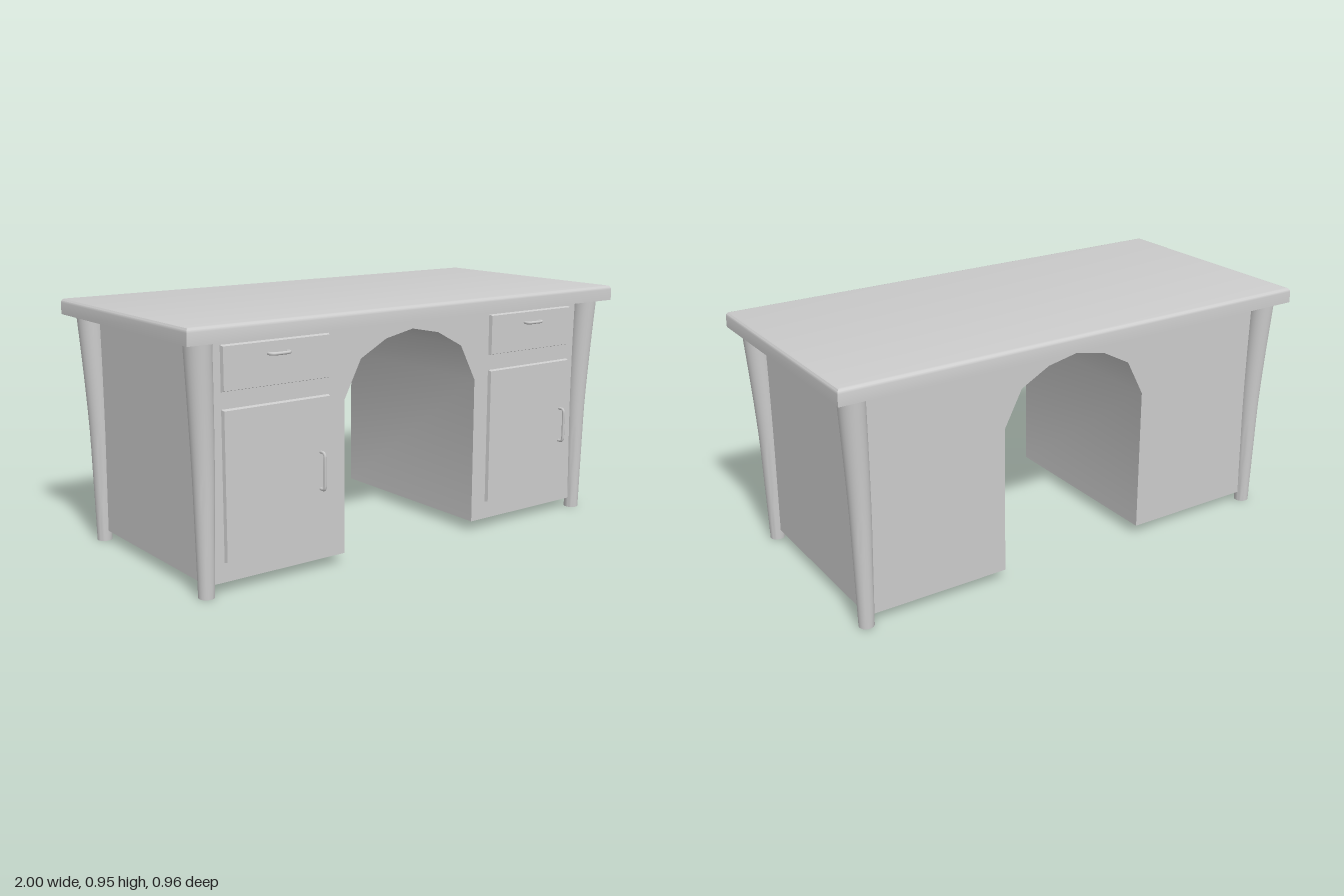
import * as THREE from 'three';
import { toCreasedNormals } from 'three/addons/utils/BufferGeometryUtils.js';

const material = new THREE.MeshStandardMaterial({ color: 0xcccccc });
const thin = new THREE.MeshStandardMaterial({ color: 0xcccccc, side: THREE.DoubleSide });

const BASE = 0.04, UNDER = 0.89, TOP = 0.95; // heights: body bottom, tabletop underside, tabletop
const BX = 0.9, BZ = 0.4;                    // half width and depth of the body
const PANEL_X = 0.61;                        // middle of each pedestal's fronts

function add(parent, name, geometry, mat = material) {
  const mesh = new THREE.Mesh(geometry, mat);
  mesh.name = name;
  parent.add(mesh);
  return mesh;
}

// Rectangular rings [halfWidth, halfHeight, z] joined along +z, capped at the front and optionally the back
function rectLoft(rings, closeBack) {
  const pos = [], index = [];
  for (const [w, h, z] of rings) pos.push(-w, -h, z, w, -h, z, w, h, z, -w, h, z);
  for (let r = 0; r < rings.length - 1; r++) {
    for (let i = 0; i < 4; i++) {
      const a = r * 4 + i, b = r * 4 + (i + 1) % 4;
      index.push(a, b, b + 4, a, b + 4, a + 4);
    }
  }
  const f = (rings.length - 1) * 4;
  index.push(f, f + 1, f + 2, f, f + 2, f + 3);
  if (closeBack) index.push(0, 2, 1, 0, 3, 2);
  const g = new THREE.BufferGeometry();
  g.setAttribute('position', new THREE.Float32BufferAttribute(pos, 3));
  g.setIndex(index);
  return toCreasedNormals(g, 0.7);
}

// Wall swept from back to front along an outline of [x, y] points
function wall(points) {
  const pos = [], index = [];
  points.forEach(([x, y], i) => {
    pos.push(x, y, BZ, x, y, -BZ);
    const a = i * 2;
    if (i < points.length - 1) index.push(a, a + 1, a + 3, a, a + 3, a + 2);
  });
  const g = new THREE.BufferGeometry();
  g.setAttribute('position', new THREE.Float32BufferAttribute(pos, 3));
  g.setIndex(index);
  return toCreasedNormals(g, 0.7);
}

// Bowed pull handle along x, standing out in +z
function handleGeometry(length, depth) {
  const h = length / 2;
  const path = new THREE.CatmullRomCurve3([
    [-h, 0], [-h, depth * 0.6], [-h + 0.012, depth], [h - 0.012, depth], [h, depth * 0.6], [h, 0],
  ].map(([x, z]) => new THREE.Vector3(x, 0, z)), false, 'catmullrom', 0.3);
  return new THREE.TubeGeometry(path, 24, 0.006, 8);
}

// Round leg that widens upwards and leans out over its upper half
function legGeometry(sx, sz) {
  const g = new THREE.CylinderGeometry(1, 1, 1, 24, 12);
  const p = g.attributes.position;
  for (let i = 0; i < p.count; i++) {
    const t = p.getY(i) + 0.5;
    const r = 0.029 + 0.02 * t;
    const lean = Math.max(0, (t - 0.45) / 0.55) ** 1.4;
    p.setXYZ(i,
      p.getX(i) * r + sx * (0.903 + 0.017 * lean),
      t * UNDER,
      p.getZ(i) * r + sz * (0.394 + 0.012 * lean));
  }
  return toCreasedNormals(g, 0.7);
}

export function createModel() {
  const desk = new THREE.Group();
  desk.name = 'desk';

  // Tabletop with softened upper edges
  const top = rectLoft([
    [1, 0.48, UNDER], [1, 0.48, TOP - 0.016], [0.998, 0.478, TOP - 0.008],
    [0.993, 0.473, TOP - 0.002], [0.985, 0.465, TOP],
  ], true);
  add(desk, 'tabletop', top.rotateX(-Math.PI / 2));

  // Hollow body, open below, with an arched kneehole
  const body = new THREE.Group();
  body.name = 'body';
  desk.add(body);
  const half = [[0.317, BASE], [0.317, 0.62], [0.243, 0.762], [0.125, 0.825]];
  const arch = [...half, [0, 0.85], ...half.map(([x, y]) => [-x, y]).reverse()];
  const outline = [...arch, [-BX, BASE], [-BX, UNDER], [BX, UNDER], [BX, BASE]]
    .map(([x, y]) => new THREE.Vector2(x, y));

  // Drawer and door fronts: height of the middle, half height
  const fronts = [
    { name: 'drawerFront', y: 0.79, h: 0.08 },
    { name: 'doorFront', y: 0.38, h: 0.27 },
  ];
  const W = 0.222;
  const frontShape = new THREE.Shape(outline);
  for (const side of [-1, 1]) {
    for (const { name, y, h } of fronts) {
      const cx = side * PANEL_X;
      frontShape.holes.push(new THREE.Path([[-W, -h], [-W, h], [W, h], [W, -h]]
        .map(([dx, dy]) => new THREE.Vector2(cx + dx, y + dy))));
      const panel = rectLoft([[W, h, 0], [W - 0.004, h - 0.004, 0.014]], false);
      add(body, name, panel, thin).position.set(cx, y, BZ);
    }
    // Pulls
    add(body, 'drawerHandle', handleGeometry(0.08, 0.025)).position.set(side * PANEL_X, 0.825, BZ + 0.012);
    const pull = add(body, 'doorHandle', handleGeometry(0.136, 0.028));
    pull.position.set(side * PANEL_X + 0.177, 0.378, BZ + 0.012);
    pull.rotation.z = Math.PI / 2;
  }
  add(body, 'frontPanel', new THREE.ShapeGeometry(frontShape), thin).position.z = BZ;
  const back = add(body, 'backPanel', new THREE.ShapeGeometry(new THREE.Shape(outline)), thin);
  back.position.z = -BZ;
  back.rotation.y = Math.PI;
  add(body, 'kneeholeWall', wall([...arch].reverse()), thin);
  add(body, 'leftSide', wall([[BX, BASE], [BX, UNDER]]), thin);
  add(body, 'rightSide', wall([[-BX, UNDER], [-BX, BASE]]), thin);

  // Corner legs
  for (const sx of [-1, 1]) for (const sz of [-1, 1]) add(desk, 'leg', legGeometry(sx, sz));

  return desk;
}
